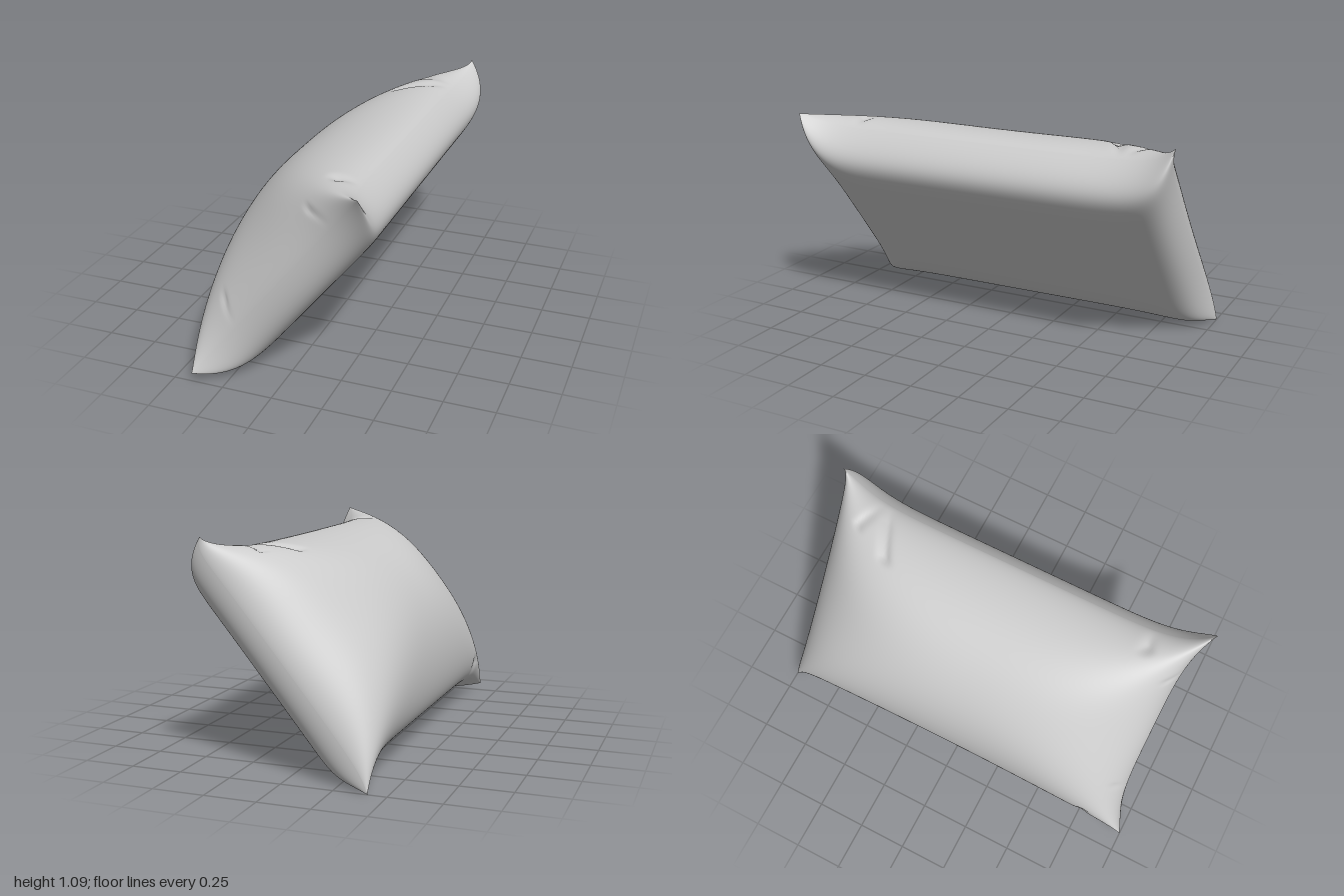
import * as THREE from 'three';

// Leaning pillow: u runs up the slope, n points out of the domed face, z is sideways
const U = new THREE.Vector3(0.631, 0.776, 0);
const N = new THREE.Vector3(-0.776, 0.631, 0);
const CENTRE = new THREE.Vector3(0.005, 0.55, 0);

// Fabric creases in the upper cover: start (s, t), end (s, t), width, depth
const CREASES = [
  [0.70, -0.62, 0.98, -0.70, 0.03, 0.02],
  [0.80, -0.82, 0.98, -0.76, 0.025, 0.016],
  [0.90, 0.75, 1.0, 0.72, 0.03, 0.025],
  [-0.90, 0.80, -1.0, 0.75, 0.03, 0.015],
  [0.62, 0.95, 0.65, 1.0, 0.025, 0.012],
  [-0.48, 0.95, -0.5, 1.0, 0.025, 0.012],
];

function creaseDepth(s, t) {
  let sum = 0;
  for (const [s0, t0, s1, t1, width, depth] of CREASES) {
    const ds = s1 - s0, dt = t1 - t0;
    const k = THREE.MathUtils.clamp(((s - s0) * ds + (t - t0) * dt) / (ds * ds + dt * dt), 0, 1);
    const d = Math.hypot(s - s0 - k * ds, t - t0 - k * dt) / width;
    sum += depth * Math.exp(-d * d);
  }
  return sum;
}

// Outline pinched in along each side, with drawn-out corners
function seamPoint(s, t) {
  const a = Math.abs(s), b = Math.abs(t);
  const inset = t > 0 ? 0.085 : 0.027;
  const reach = 0.5575 - 0.0125 * s;
  let u = s * (reach + (0.657 - reach) * b ** 8);
  const z = t * (1 - inset * (1 - a ** 4));
  let n = 0.03 * a ** 6 * (1 - b ** 6);
  // the two back corners are bent out of line
  if (t < 0) {
    const ear = a ** 16 * b ** 16;
    u += ear * (s > 0 ? -0.012 : -0.033);
    n += ear * (s > 0 ? 0.054 : -0.025);
  }
  return { u, z, n };
}

// Domed upper face, fuller towards the top and bottom ends
function upperHeight(s, t) {
  const a = Math.abs(s), b = Math.abs(t);
  const fullness = 3 + 4.5 * a * a;
  const h = 0.385 * (1 - a * a) ** (0.68 - 0.14 * b * b) * (1 - b ** fullness) ** 0.58;
  return h - creaseDepth(s, t) * Math.min(1, h / 0.12);
}

// Flat, boxy lower face
const lowerHeight = (s, t) => -0.19 * Math.sqrt((1 - Math.abs(s) ** 13) * (1 - Math.abs(t) ** 15));

function cover(name, height, side) {
  const geo = new THREE.PlaneGeometry(2, 2, 120, 150);
  const pos = geo.attributes.position;
  const p = new THREE.Vector3();
  for (let i = 0; i < pos.count; i++) {
    // rows are packed towards the seam, where the cloth curves most
    const s = THREE.MathUtils.clamp(Math.sin(pos.getX(i) * Math.PI / 2), -1, 1);
    const t = THREE.MathUtils.clamp(-side * Math.sin(pos.getY(i) * Math.PI / 2), -1, 1);
    const seam = seamPoint(s, t);
    p.copy(CENTRE).addScaledVector(U, seam.u).addScaledVector(N, seam.n + height(s, t));
    p.z = seam.z;
    pos.setXYZ(i, p.x, p.y, p.z);
  }
  geo.computeVertexNormals();
  const mesh = new THREE.Mesh(geo, new THREE.MeshStandardMaterial({
    color: 0xcccccc, roughness: 0.8, side: THREE.DoubleSide,
  }));
  mesh.name = name;
  return mesh;
}

export function createModel() {
  const pillow = new THREE.Group();
  pillow.name = 'pillow';
  pillow.add(cover('upperCover', upperHeight, 1));
  pillow.add(cover('lowerCover', lowerHeight, -1));
  return pillow;
}
